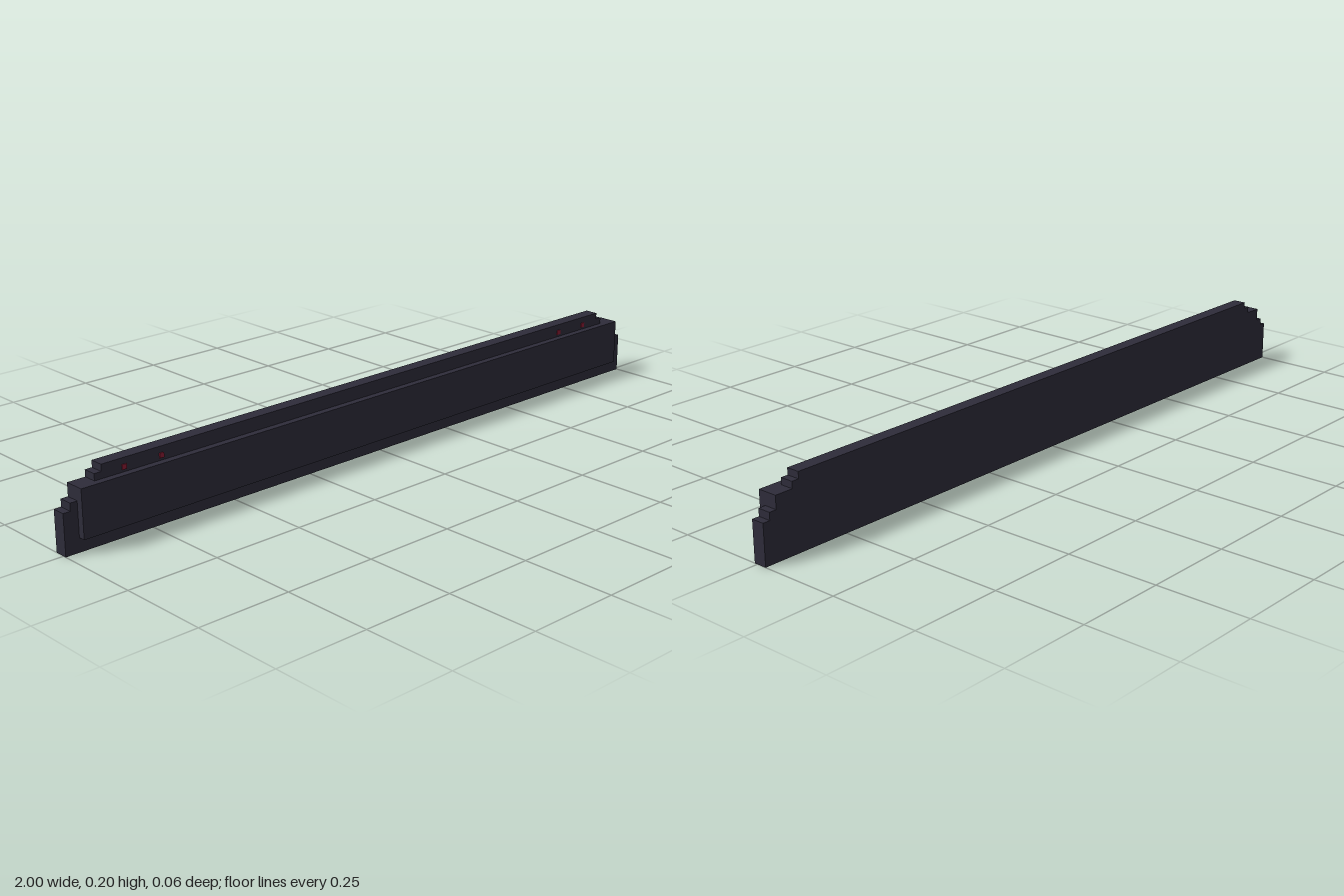
import * as THREE from 'three';

export function createModel() {
  const model = new THREE.Group();
  const dark = new THREE.MeshStandardMaterial({ color: 0x2e2c3a });
  dark.name = 'dark slate';
  const red = new THREE.MeshStandardMaterial({ color: 0x8c1c34 });
  red.name = 'deep red';

  // Stepped back slab: right half of the outline, mirrored
  const half = [
    [1, 0], [1, 0.109], [0.98, 0.109], [0.98, 0.129], [0.96, 0.129], [0.96, 0.164],
    [0.91, 0.164], [0.91, 0.182], [0.89, 0.182], [0.89, 0.2],
  ];
  const mirrored = half.map(([x, y]) => [-x, y]).reverse();
  const outline = new THREE.Shape([...half, ...mirrored].map(([x, y]) => new THREE.Vector2(x, y)));
  const slabGeometry = new THREE.ExtrudeGeometry(outline, { depth: 0.037, bevelEnabled: false });
  slabGeometry.translate(0, 0, -0.028);
  const slab = new THREE.Mesh(slabGeometry, dark);
  slab.name = 'steppedSlab';
  model.add(slab);

  // Raised front panel
  const panel = new THREE.Mesh(new THREE.BoxGeometry(1.92, 0.127, 0.019), dark);
  panel.name = 'frontPanel';
  panel.position.set(0, 0.1005, 0.0185);
  model.add(panel);

  // Pairs of small red studs near both ends of the upper ledge
  const studGeometry = new THREE.BoxGeometry(0.013, 0.013, 0.003);
  for (const side of [-1, 1]) {
    for (const x of [0.718, 0.826]) {
      const stud = new THREE.Mesh(studGeometry, red);
      stud.name = 'redStud';
      stud.position.set(side * x, 0.177, 0.01);
      model.add(stud);
    }
  }
  return model;
}
